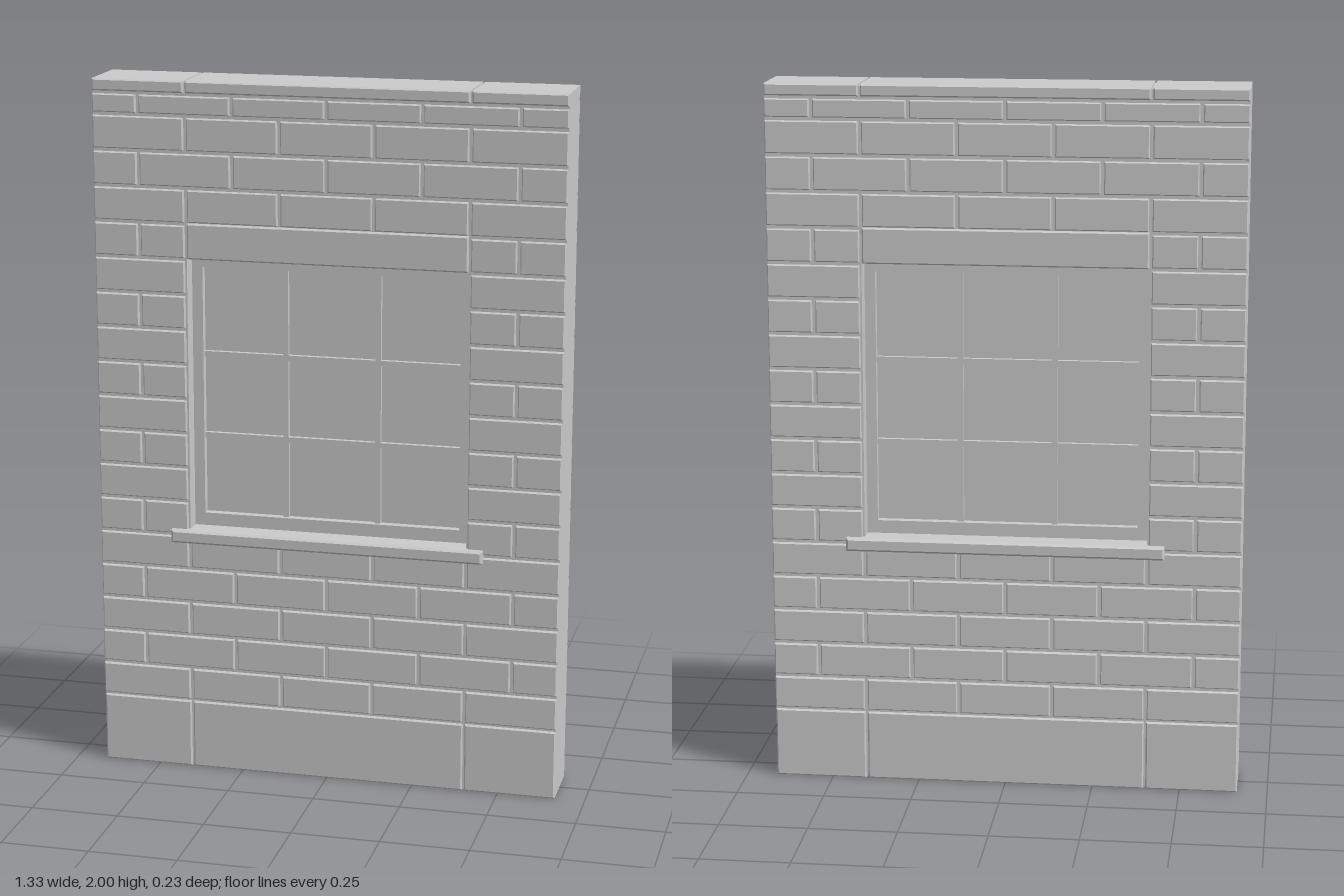
import * as THREE from 'three';

const stone = new THREE.MeshStandardMaterial({ color: 0xcccccc });
stone.name = 'grey stone';

const W = 0.664;        // half width of the wall
const OPEN = 0.4;       // half width of the window opening
const SILL_Y = 0.72, HEAD_Y = 1.505, BASE_Y = 0.2, CAP_Y = 1.967;
const CORE_Z = 0.084, BRICK_Z = 0.094;

function rect(Type, x0, x1, y0, y1) {
  const s = new Type();
  s.moveTo(x0, y0);
  s.lineTo(x1, y0);
  s.lineTo(x1, y1);
  s.lineTo(x0, y1);
  s.closePath();
  return s;
}

// Block between two corners, with its z-facing edges chamfered by c
function block(name, x0, x1, y0, y1, z0, z1, c = 0.004) {
  const geo = new THREE.ExtrudeGeometry(rect(THREE.Shape, x0, x1, y0, y1), {
    depth: z1 - z0 - 2 * c,
    bevelEnabled: c > 0,
    bevelThickness: c,
    bevelSize: c,
    bevelOffset: -c,
    bevelSegments: 1,
  });
  geo.translate(0, 0, z0 + c);
  const mesh = new THREE.Mesh(geo, stone);
  mesh.name = name;
  return mesh;
}

// Rectangular slab with a rectangular hole, centred on z = 0
function ring(name, outer, inner, halfDepth) {
  const shape = rect(THREE.Shape, ...outer);
  shape.holes.push(rect(THREE.Path, ...inner));
  const geo = new THREE.ExtrudeGeometry(shape, { depth: halfDepth * 2, bevelEnabled: false });
  geo.translate(0, 0, -halfDepth);
  const mesh = new THREE.Mesh(geo, stone);
  mesh.name = name;
  return mesh;
}

// One face of brick courses in running bond, left open around the window
function brickFace() {
  const face = new THREE.Group();
  const gap = 0.005;
  const joints = [
    [-W, -0.4, -0.133, 0.133, 0.4, W],
    [-W, -0.535, -0.267, 0, 0.267, 0.535, W],
  ];
  for (let row = 0; row < 18; row++) {
    const y0 = BASE_Y + row * 0.1 + 0.008;
    const y1 = row === 17 ? 1.958 : y0 + 0.09;
    const xs = joints[row % 2];
    const besideWindow = row >= 5 && row <= 13;
    for (let i = 0; i < xs.length - 1; i++) {
      let a = xs[i], b = xs[i + 1];
      if (besideWindow) {
        if (a >= -OPEN - 0.001 && b <= OPEN + 0.001) continue;
        if (a < 0) b = Math.min(b, -OPEN);
        else a = Math.max(a, OPEN);
      }
      const x0 = a === -W ? a : a + gap;
      const x1 = b === W ? b : b - gap;
      face.add(block('brick', x0, x1, y0, y1, CORE_Z - 0.004, BRICK_Z, 0.003));
    }
  }
  // Lintel over the opening
  face.add(block('lintel', -0.397, 0.397, HEAD_Y, 1.605, CORE_Z - 0.01, BRICK_Z));
  // Projecting sill
  face.add(block('sill', -0.45, 0.45, 0.684, 0.722, 0.08, 0.113, 0.006));
  return face;
}

// Frame, glazing bars and panes
function windowUnit() {
  const g = new THREE.Group();
  g.name = 'window';
  const x = 0.37, y0 = 0.757, y1 = 1.474;
  g.add(ring('windowFrame', [-OPEN, OPEN, SILL_Y, HEAD_Y], [-x, x, y0, y1], 0.035));
  g.add(block('panes', -x, x, y0, y1, -0.012, 0.012, 0));
  for (const bx of [-0.133, 0.133]) {
    g.add(block('verticalBar', bx - 0.008, bx + 0.008, y0, y1, -0.025, 0.025, 0));
  }
  for (const by of [0.985, 1.222]) {
    g.add(block('horizontalBar', -x, x, by - 0.008, by + 0.008, -0.025, 0.025, 0));
  }
  return g;
}

export function createModel() {
  const model = new THREE.Group();
  model.name = 'brickWallWithWindow';

  // Mortar core behind the bricks
  model.add(ring('mortarCore', [-W, W, BASE_Y, CAP_Y], [-OPEN, OPEN, SILL_Y, HEAD_Y], CORE_Z));

  // Brickwork on both sides
  const front = brickFace();
  front.name = 'frontBrickwork';
  const back = brickFace();
  back.name = 'backBrickwork';
  back.rotation.y = Math.PI;
  model.add(front, back, windowUnit());

  // Plinth and coping, each in three stones
  for (const [a, b] of [[-W, -0.403], [-0.397, 0.397], [0.403, W]]) {
    model.add(block('plinthStone', a, b, 0, BASE_Y, -0.091, 0.091));
    model.add(block('copingStone', a, b, CAP_Y, 2, -0.095, 0.095));
  }
  // Recessed joints between those stones
  for (const x of [-OPEN, OPEN]) {
    model.add(block('plinthJoint', x - 0.004, x + 0.004, 0.004, BASE_Y, -CORE_Z, CORE_Z, 0));
    model.add(block('copingJoint', x - 0.004, x + 0.004, CAP_Y, 1.994, -CORE_Z, CORE_Z, 0));
  }
  return model;
}
